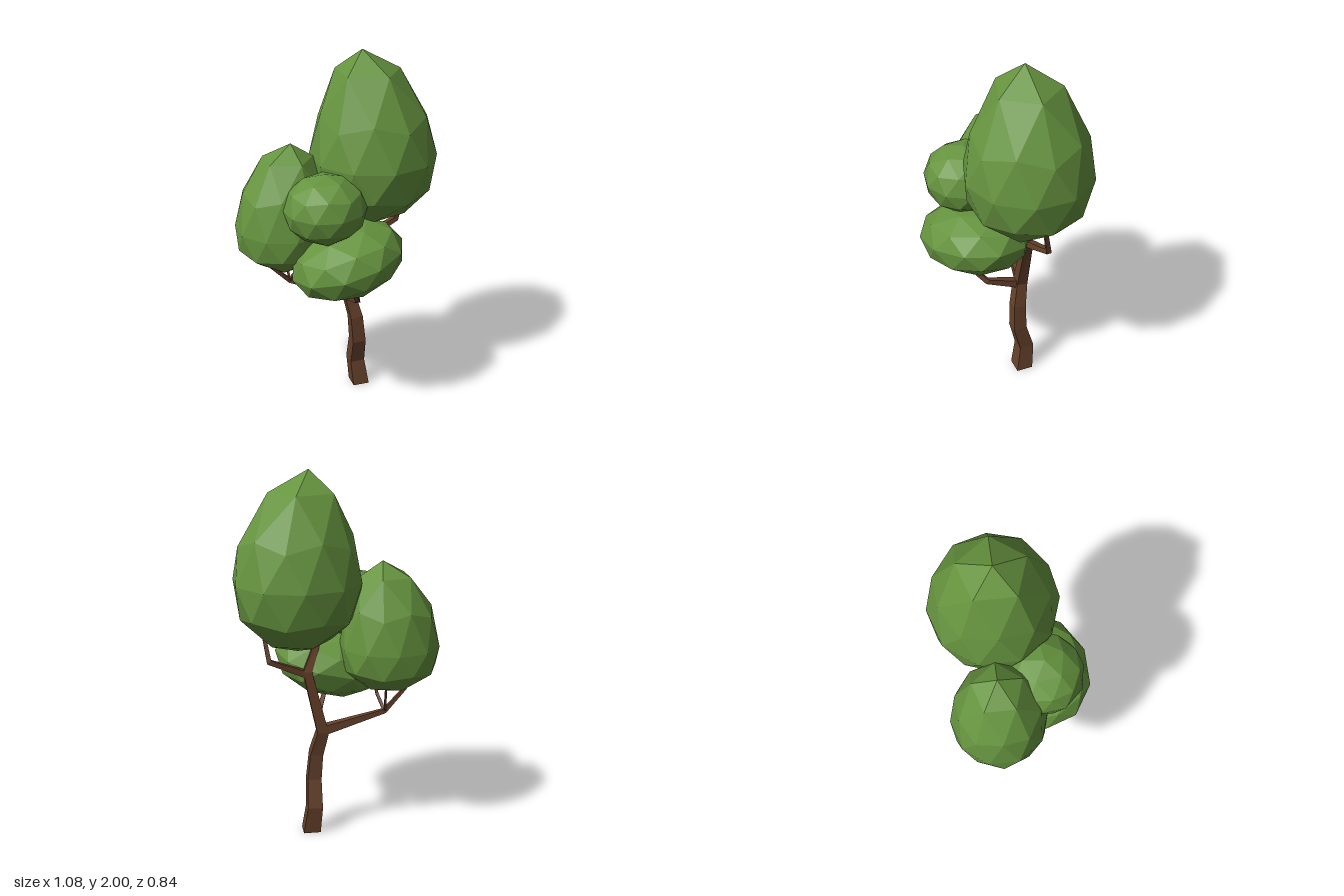
import * as THREE from 'three';

const leafMat = new THREE.MeshStandardMaterial({ color: 0x66943f, flatShading: true });
const barkMat = new THREE.MeshStandardMaterial({ color: 0x65402a, flatShading: true });

// Egg-shaped crown: a faceted ball with separate heights above and below its widest ring
function crown(name, { at, radius, up, down, taper = 1, lean = 0, belly = 1, turn = [0, 0, 0] }) {
  const geo = new THREE.IcosahedronGeometry(1, 1);
  geo.rotateX(-Math.atan((1 + Math.sqrt(5)) / 2)); // a corner points straight up
  geo.rotateY(Math.PI / 2);
  const p = geo.attributes.position;
  for (let i = 0; i < p.count; i++) {
    const y = p.getY(i);
    const top = Math.max(y, 0);
    const wide = y < -0.3 && y > -0.7 ? belly : 1;
    p.setXYZ(
      i,
      p.getX(i) * radius[0] * wide + lean * top ** 4, // the tip leans
      y > 0 ? up * top ** taper : y * down,
      p.getZ(i) * radius[1] * wide,
    );
  }
  geo.computeVertexNormals();
  const mesh = new THREE.Mesh(geo, leafMat);
  mesh.name = name;
  mesh.position.set(...at);
  mesh.rotation.set(...turn);
  return mesh;
}

// Four-sided limb through a few [x, y, z, halfWidth] stations, capped at both ends
function limb(name, stations, ref = [0, 0, 1]) {
  const pts = stations.map(s => new THREE.Vector3(s[0], s[1], s[2]));
  const refV = new THREE.Vector3(...ref);
  const pos = [], idx = [], last = pts.length - 1;
  pts.forEach((c, i) => {
    const before = c.clone().sub(pts[Math.max(i - 1, 0)]).normalize();
    const after = pts[Math.min(i + 1, last)].clone().sub(c).normalize();
    const t = before.add(after).normalize();
    const u = new THREE.Vector3().crossVectors(t, refV).normalize();
    const v = new THREE.Vector3().crossVectors(t, u);
    for (const [a, b] of [[-1, -1], [1, -1], [1, 1], [-1, 1]]) {
      const q = c.clone().addScaledVector(u, a * stations[i][3]).addScaledVector(v, b * stations[i][3]);
      pos.push(q.x, c.y === 0 ? 0 : q.y, q.z); // the foot stays flat on the ground
    }
  });
  for (let i = 0; i < last; i++) {
    for (let k = 0; k < 4; k++) {
      const a = i * 4 + k, b = i * 4 + (k + 1) % 4;
      idx.push(a, b, b + 4, a, b + 4, a + 4);
    }
  }
  const e = last * 4;
  idx.push(0, 2, 1, 0, 3, 2, e, e + 1, e + 2, e, e + 2, e + 3);
  const indexed = new THREE.BufferGeometry();
  indexed.setAttribute('position', new THREE.Float32BufferAttribute(pos, 3));
  indexed.setIndex(idx);
  const geo = indexed.toNonIndexed();
  geo.computeVertexNormals();
  const mesh = new THREE.Mesh(geo, barkMat);
  mesh.name = name;
  return mesh;
}

export function createModel() {
  const tree = new THREE.Group();
  tree.name = 'tree';

  // Foliage
  const foliage = new THREE.Group();
  foliage.name = 'foliage';
  foliage.add(
    crown('tallCrown', {
      at: [0.212, 1.42, -0.075], radius: [0.345, 0.345], up: 0.58, down: 0.38, taper: 1.38, lean: -0.065, belly: 1.03,
    }),
    crown('sideCrown', {
      at: [-0.28, 1.06, -0.1], radius: [0.27, 0.26], up: 0.46, down: 0.26, taper: 1.2, lean: 0.04, belly: 1.07,
    }),
    crown('lowCrown', {
      at: [0, 0.922, 0.14], radius: [0.325, 0.285], up: 0.195, down: 0.195, turn: [-0.15, 0.3, 0.24],
    }),
    crown('middleCrown', {
      at: [-0.128, 1.235, 0.15], radius: [0.222, 0.215], up: 0.19, down: 0.19, turn: [0, 0.12, 0],
    }),
  );

  // Trunk and branches
  const wood = new THREE.Group();
  wood.name = 'wood';
  wood.add(
    limb('trunk', [
      [0.146, 0, -0.085, 0.047], [0.13, 0.15, -0.105, 0.041], [0.128, 0.3, -0.065, 0.038],
      [0.115, 0.45, -0.068, 0.035], [0.083, 0.585, -0.095, 0.031], [0.165, 0.93, -0.1, 0.024],
      [0.1, 1.1, -0.065, 0.015],
    ]),
    limb('tallCrownBranch', [
      [0.155, 0.91, -0.1, 0.019], [0.37, 1.0, -0.125, 0.014], [0.39, 1.12, -0.1, 0.01],
    ]),
    limb('sideBranch', [
      [0.09, 0.59, -0.095, 0.026], [-0.25, 0.7, -0.14, 0.012], [-0.37, 0.82, -0.12, 0.008],
    ]),
    limb('sideTwig', [[-0.25, 0.7, -0.14, 0.009], [-0.22, 0.78, -0.08, 0.008], [-0.21, 0.85, -0.06, 0.007]]),
    limb('backTwig', [[-0.25, 0.7, -0.135, 0.006], [-0.25, 0.715, -0.155, 0.006], [-0.245, 0.85, -0.2, 0.005]], [1, 0, 0]),
    limb('frontBranch', [
      [0.085, 0.575, -0.1, 0.023], [0.07, 0.64, 0.1, 0.014], [0.01, 0.76, 0.21, 0.01],
    ], [1, 0, 0]),
  );

  tree.add(foliage, wood);
  return tree;
}
